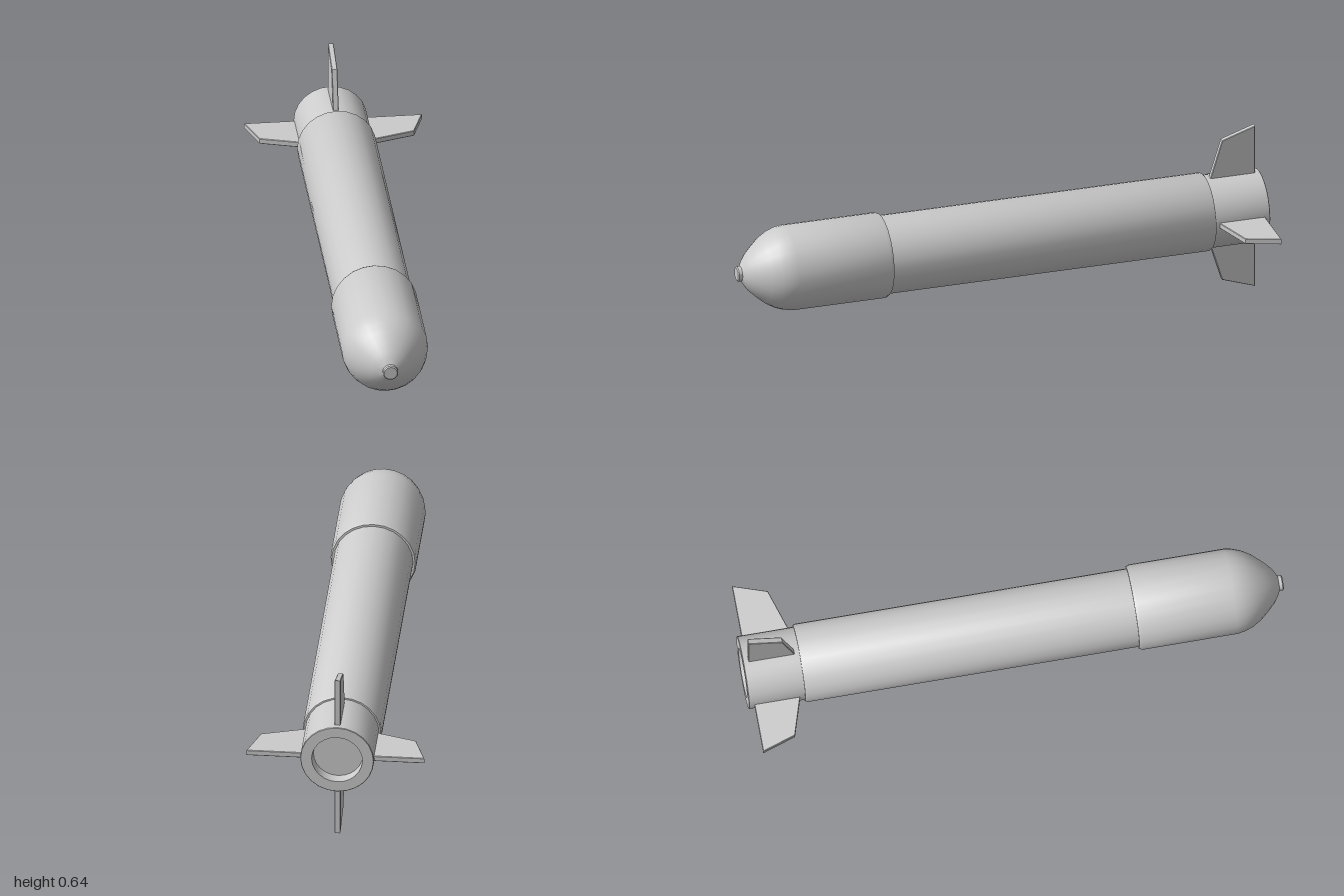
import * as THREE from 'three';
import { toCreasedNormals } from 'three/addons/utils/BufferGeometryUtils.js';

const SIDES = 24;
const material = new THREE.MeshStandardMaterial({ color: 0xcccccc });

// Turned part around the long z axis; profile is [radius, z] from rear to front
function turned(name, profile) {
  const points = profile.map(([r, z]) => new THREE.Vector2(r, z));
  const geometry = new THREE.LatheGeometry(points, SIDES).rotateX(Math.PI / 2);
  const mesh = new THREE.Mesh(toCreasedNormals(geometry, 0.6), material);
  mesh.name = name;
  return mesh;
}

// Swept fin pointing along +x, with slightly softened edges
function finGeometry() {
  const thickness = 0.021, bevel = 0.002;
  const outline = [[0.12, -0.98], [0.322, -0.98], [0.28, -0.855], [0.135, -0.81], [0.12, -0.806]];
  const shape = new THREE.Shape(outline.map(([r, z]) => new THREE.Vector2(r, z)));
  const geometry = new THREE.ExtrudeGeometry(shape, {
    depth: thickness - 2 * bevel,
    bevelThickness: bevel, bevelSize: bevel, bevelOffset: -bevel, bevelSegments: 1,
  });
  return geometry.translate(0, 0, bevel - thickness / 2).rotateX(Math.PI / 2);
}

export function createModel() {
  const model = new THREE.Group();
  model.name = 'finnedRocket';

  const body = new THREE.Group();
  body.name = 'body';
  body.position.set(-0.01, 0.321, 0);
  model.add(body);

  // Tail section with a recessed exhaust
  body.add(turned('tail', [
    [0, -0.96], [0.09, -0.96], [0.093, -1], [0.133, -1], [0.135, -0.998], [0.135, -0.78],
  ]));

  // Long main tube with small chamfers
  body.add(turned('mainTube', [
    [0.13, -0.792], [0.141, -0.792], [0.145, -0.785], [0.145, 0.46],
  ]));

  // Wider warhead section and rounded nose
  body.add(turned('nose', [
    [0.14, 0.443], [0.153, 0.443], [0.158, 0.455], [0.158, 0.805], [0.153, 0.835],
    [0.142, 0.866], [0.122, 0.9], [0.096, 0.93], [0.07, 0.957], [0.048, 0.973], [0.026, 0.985],
  ]));

  // Small fuse cap on the tip
  body.add(turned('noseCap', [[0.028, 0.955], [0.028, 0.996], [0.024, 1], [0, 1]]));

  // Four tail fins; the left one sits slightly further out
  const geometry = finGeometry();
  for (let i = 0; i < 4; i++) {
    const fin = new THREE.Mesh(geometry, material);
    fin.name = ['leftFin', 'topFin', 'rightFin', 'bottomFin'][i];
    fin.rotation.z = i * Math.PI / 2;
    if (i === 0) fin.position.x = 0.012;
    if (i === 2) fin.position.x = 0.004;
    body.add(fin);
  }
  return model;
}
